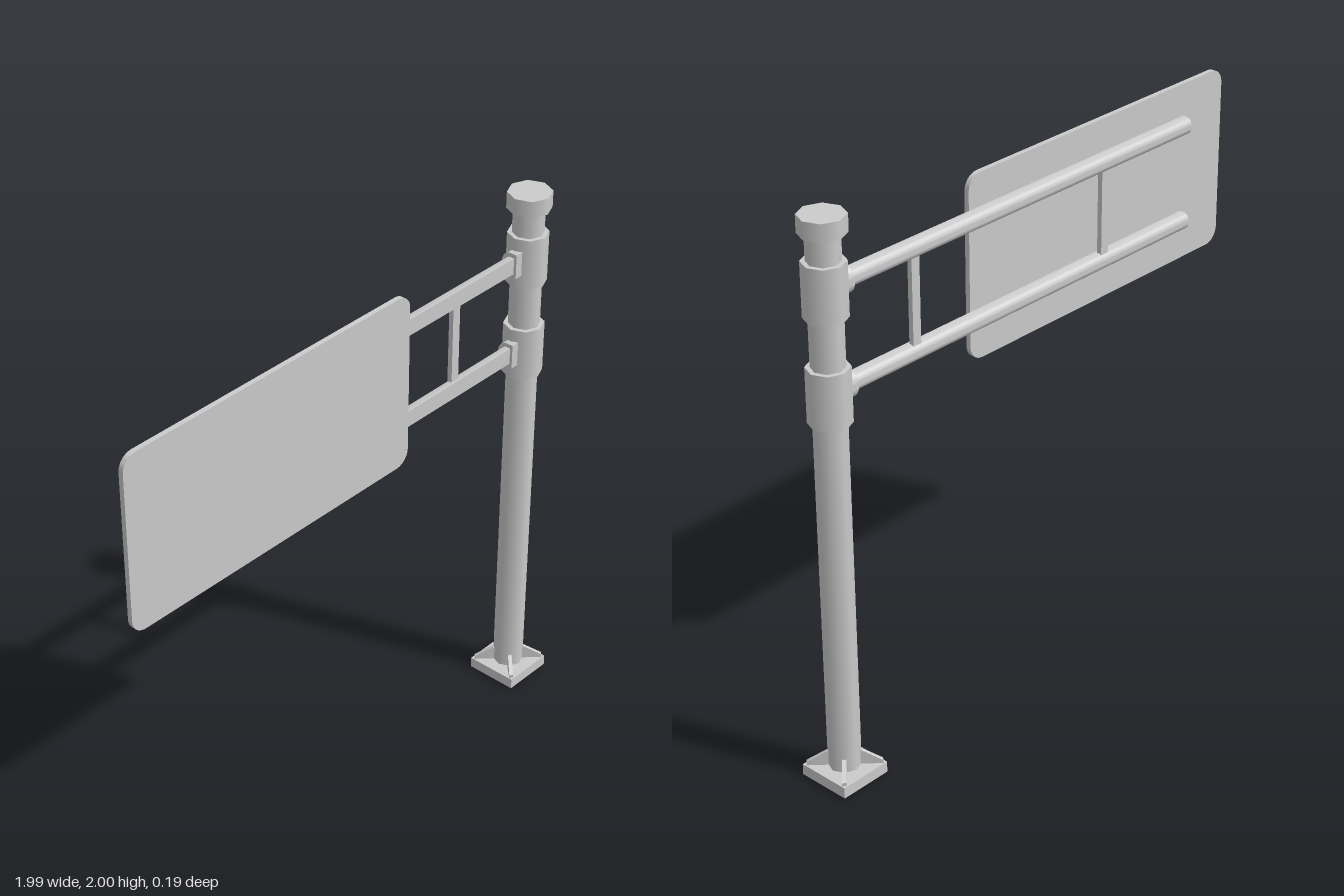
import * as THREE from 'three';
import { toCreasedNormals } from 'three/addons/utils/BufferGeometryUtils.js';

const POLE_X = 0.895;
const ARM_HEIGHTS = [1.76, 1.41];

export function createModel() {
  const group = new THREE.Group();
  const grey = new THREE.MeshStandardMaterial({ color: 0xcccccc });
  const greyDouble = new THREE.MeshStandardMaterial({ color: 0xcccccc, side: THREE.DoubleSide });

  const add = (name, geometry, x, y, z, material = grey) => {
    const mesh = new THREE.Mesh(geometry, material);
    mesh.name = name;
    mesh.position.set(x, y, z);
    group.add(mesh);
    return mesh;
  };

  // Eight-sided upright tube between two heights, centred on the pole
  const upright = (name, radius, y0, y1) =>
    add(name, new THREE.CylinderGeometry(radius, radius, y1 - y0, 8), POLE_X, (y0 + y1) / 2, 0);

  // D-shaped bar along x: flat towards the sign, rounded at the back
  const dBar = (name, x0, x1, y, radius, back, front) => {
    const shape = new THREE.Shape();
    const mid = back + radius * 0.8;
    shape.moveTo(-front, -radius);
    shape.lineTo(-mid, -radius);
    shape.absellipse(-mid, 0, mid - back, radius, -Math.PI / 2, Math.PI / 2, false);
    shape.lineTo(-front, radius);
    shape.closePath();
    const geometry = new THREE.ExtrudeGeometry(shape, { depth: x1 - x0, bevelEnabled: false, curveSegments: 8 });
    geometry.rotateY(Math.PI / 2); // extrusion runs along +x, shape x becomes -z
    add(name, toCreasedNormals(geometry, 0.6), x0, y, 0);
  };

  // Pole, cap and arm collars
  upright('pole', 0.055, 0.02, 1.96);
  upright('poleCap', 0.077, 1.94, 2.0);
  upright('upperCollar', 0.071, 1.665, 1.85);
  upright('lowerCollar', 0.071, 1.31, 1.5);

  // Base plate: shallow shell, open underneath
  const half = 0.097;
  const plateTop = 0.04;
  add('basePlateTop', new THREE.BoxGeometry(half * 2, 0.006, half * 2), POLE_X, plateTop - 0.003, 0);
  const rim = new THREE.CylinderGeometry(half * Math.SQRT2, half * Math.SQRT2, plateTop, 4, 1, true).toNonIndexed();
  rim.rotateY(Math.PI / 4);
  rim.computeVertexNormals();
  add('basePlateRim', rim, POLE_X, plateTop / 2, 0, greyDouble);

  // Gussets from the pole to the plate corners
  const profile = new THREE.Shape();
  profile.moveTo(0.04, 0);
  profile.lineTo(0.125, 0);
  profile.lineTo(0.125, 0.012);
  profile.lineTo(0.058, 0.052);
  profile.lineTo(0.04, 0.052);
  const gusset = new THREE.ExtrudeGeometry(profile, { depth: 0.014, bevelEnabled: false });
  gusset.translate(0, 0, -0.007);
  for (let i = 0; i < 4; i++) {
    add('baseGusset', gusset, POLE_X, plateTop, 0).rotation.y = Math.PI / 4 + (i * Math.PI) / 2;
  }

  // Arms with their end flanges
  for (const y of ARM_HEIGHTS) {
    dBar('arm', -0.79, 0.84, y, 0.03, -0.024, 0.016);
    dBar('armFlange', 0.805, 0.85, y, 0.045, -0.036, 0.026);
  }

  // Struts between the arms
  for (const x of [0.527, -0.36]) {
    add('armStrut', new THREE.BoxGeometry(0.034, 0.32, 0.018), x, 1.585, -0.003);
  }

  // Sign panel with rounded corners
  const w = 1.255, h = 0.645, r = 0.055;
  const panel = new THREE.Shape();
  panel.moveTo(r, 0);
  panel.absarc(w - r, r, r, -Math.PI / 2, 0, false);
  panel.absarc(w - r, h - r, r, 0, Math.PI / 2, false);
  panel.absarc(r, h - r, r, Math.PI / 2, Math.PI, false);
  panel.absarc(r, r, r, Math.PI, Math.PI * 1.5, false);
  const sign = new THREE.ExtrudeGeometry(panel, { depth: 0.018, bevelEnabled: false, curveSegments: 5 });
  add('signPanel', toCreasedNormals(sign, 0.6), -0.995, 1.26, 0.016);

  return group;
}
